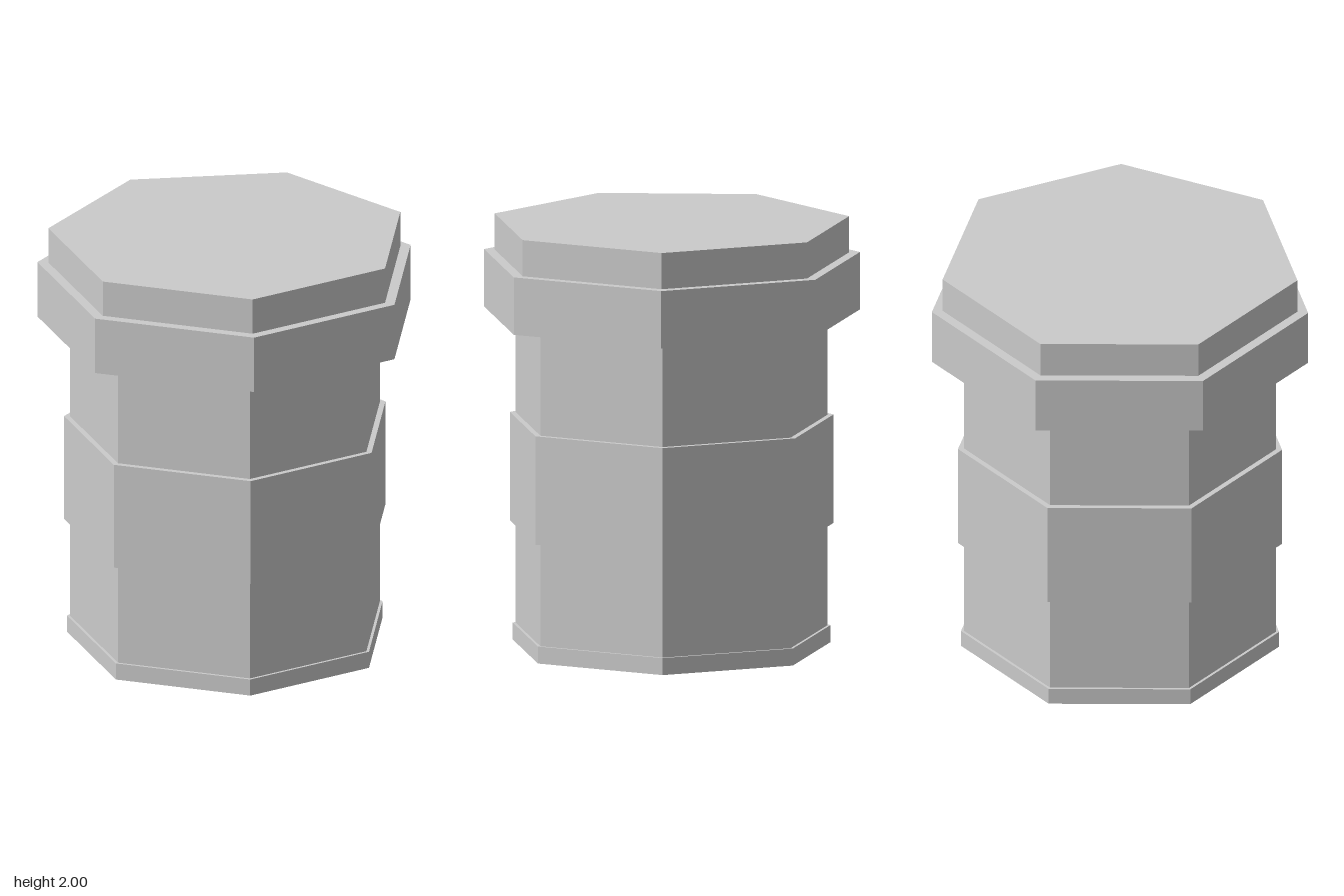
import * as THREE from 'three';

const SIDES = 7;
const AXIS_Z = 0.043; // the pointed back reaches further than the flat front

export function createModel() {
  const model = new THREE.Group();
  const material = new THREE.MeshStandardMaterial({
    color: 0xcccccc, flatShading: true, side: THREE.DoubleSide,
  });

  // Seven-sided thin shell following a [radius, height] profile, corner to the back
  function shell(name, profile) {
    const points = profile.map(([r, y]) => new THREE.Vector2(r, y));
    const mesh = new THREE.Mesh(new THREE.LatheGeometry(points, SIDES, Math.PI), material);
    mesh.name = name;
    mesh.position.z = AXIS_Z;
    model.add(mesh);
  }

  const body = 0.742, foot = 0.756, band = 0.77, collar = 0.894, lid = 0.843;

  // Open-bottomed foot rim with its small ledge
  shell('footRim', [[foot, 0], [foot, 0.08], [body, 0.08]]);
  shell('lowerWall', [[body, 0.08], [body, 0.56]]);
  // Raised band around the middle
  shell('middleBand', [[body, 0.56], [band, 0.56], [band, 1.07], [body, 1.07]]);
  shell('upperWall', [[body, 1.07], [body, 1.56]]);
  // Overhanging collar
  shell('collar', [[body, 1.56], [collar, 1.56], [collar, 1.83], [lid, 1.83]]);
  // Closed flat lid
  shell('lid', [[lid, 1.83], [lid, 2], [0, 2]]);

  return model;
}
